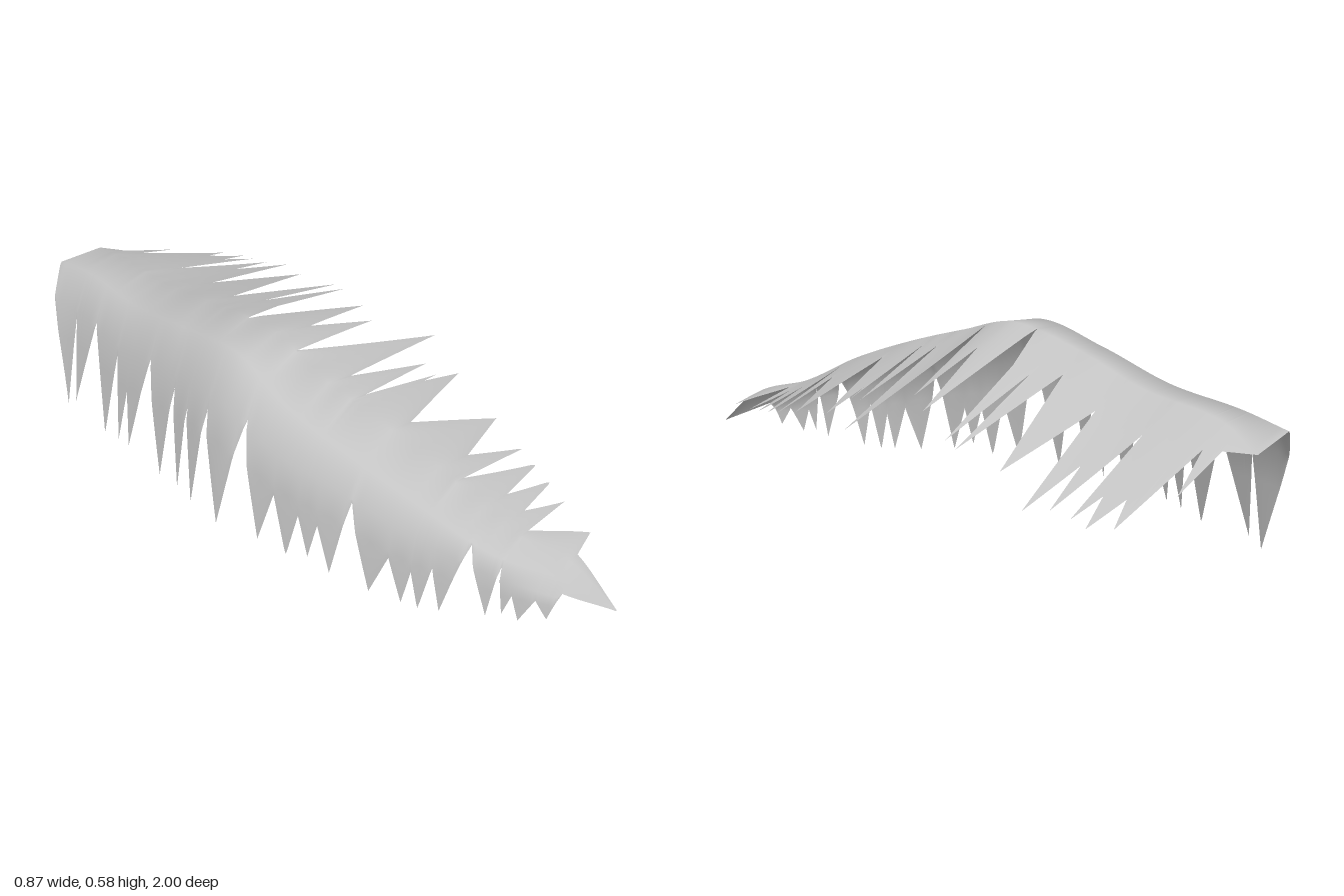
import * as THREE from 'three';

// Smooth interpolation through keyed values (cubic Hermite, uneven spacing).
function spline(xs, ys, x) {
  const n = xs.length;
  let i = 0;
  while (i < n - 2 && x > xs[i + 1]) i++;
  const slope = (k) => {
    const a = Math.max(k - 1, 0), b = Math.min(k + 1, n - 1);
    return (ys[b] - ys[a]) / (xs[b] - xs[a]);
  };
  const h = xs[i + 1] - xs[i], t = (x - xs[i]) / h, t2 = t * t, t3 = t2 * t;
  return (2 * t3 - 3 * t2 + 1) * ys[i] + (t3 - 2 * t2 + t) * h * slope(i)
    + (3 * t2 - 2 * t3) * ys[i + 1] + (t3 - t2) * h * slope(i + 1);
}

// Straight interpolation along a list of [position, value] corners.
function zigzag(list, z) {
  let i = 0;
  while (i < list.length - 2 && z > list[i + 1][0]) i++;
  const [a, b] = [list[i], list[i + 1]];
  return a[1] + (b[1] - a[1]) * (z - a[0]) / (b[0] - a[0]);
}

// Cross-sections: z, then [x, y] of low tip, low flank, flank, two crown corners, far tip.
const SECTIONS = [
  [-1, [-.32, .03], [-.28, .25], [-.25, .36], [-.19, .45], [-.03, .43], [.38, .27]],
  [-.85, [-.33, .03], [-.285, .25], [-.26, .36], [-.2, .475], [-.08, .48], [.39, .285]],
  [-.6, [-.37, .05], [-.33, .25], [-.305, .36], [-.24, .485], [-.11, .5], [.43, .315]],
  [-.35, [-.405, .06], [-.37, .3], [-.34, .41], [-.275, .535], [-.15, .555], [.36, .385]],
  [-.1, [-.44, .05], [-.41, .33], [-.375, .44], [-.3, .57], [-.17, .588], [.36, .4]],
  [.1, [-.41, .05], [-.395, .27], [-.375, .37], [-.31, .48], [-.18, .525], [.38, .35]],
  [.3, [-.37, .04], [-.355, .23], [-.335, .32], [-.28, .405], [-.16, .455], [.27, .33]],
  [.5, [-.305, .005], [-.3, .17], [-.285, .25], [-.24, .325], [-.13, .37], [.21, .27]],
  [.7, [-.215, .02], [-.21, .12], [-.205, .18], [-.185, .235], [-.1, .26], [.15, .22]],
  [.86, [-.14, .05], [-.135, .11], [-.128, .14], [-.09, .175], [-.04, .205], [.1, .185]],
  [1, [-.012, .07], [-.009, .073], [-.006, .076], [-.003, .08], [0, .081], [.008, .079]],
];

// Ragged hanging edge: [z, y], alternating notches and spike tips.
const LOW_EDGE = [
  [-1, .44], [-.872, .03], [-.857, .34], [-.832, .06], [-.75, .37], [-.655, .04], [-.62, .33],
  [-.58, .06], [-.553, .24], [-.525, .07], [-.45, .4], [-.36, .06], [-.315, .38], [-.27, .07],
  [-.24, .36], [-.2, .06], [-.15, .4], [-.085, .05], [-.005, .43], [.06, .06], [.11, .24],
  [.155, .04], [.19, .2], [.225, .07], [.25, .19], [.294, .04], [.34, .3], [.41, .02],
  [.46, .16], [.5, .01], [.522, .13], [.545, 0], [.575, .16], [.6, .01], [.655, .25],
  [.717, .03], [.737, .2], [.757, .05], [.777, .12], [.8, .04], [.835, .12], [.866, .06],
  [.885, .14], [1, .08],
];

// Ragged spreading edge: [z, x], alternating notches and spike tips.
const FAR_EDGE = [
  [-1, -.03], [-.92, .01], [-.905, .19], [-.875, .03], [-.83, .355], [-.802, .26], [-.77, .39],
  [-.745, .28], [-.72, .385], [-.705, .05], [-.66, .39], [-.632, .22], [-.603, .43], [-.54, .03],
  [-.473, .355], [-.38, -.04], [-.323, .355], [-.3, .01], [-.275, .34], [-.235, 0], [-.19, -.17],
  [-.135, .27], [-.08, -.03], [-.05, .21], [0, -.17], [.065, .375], [.125, -.09], [.16, .21],
  [.2, -.11], [.21, .2], [.217, .13], [.23, .28], [.33, -.07], [.41, .23], [.48, 0],
  [.525, .21], [.533, -.09], [.585, .2], [.62, 0], [.65, .18], [.68, 0], [.72, .14],
  [.73, -.05], [.835, .1], [.86, 0], [1, 0],
];

const STATIONS = SECTIONS.map((s) => s[0]);
const KEYS = [0, 1, 2, 3, 4, 5];

// Section at z, as a function of u running from the low tip (0) to the far tip (5).
function sectionAt(z) {
  const [xs, ys] = [0, 1].map((axis) =>
    KEYS.map((k) => [k, spline(STATIONS, SECTIONS.map((s) => s[k + 1][axis]), z)]));
  return (u) => [zigzag(xs, u), zigzag(ys, u)];
}

// Finds u in lo..hi where the chosen coordinate reaches the target.
function solve(section, axis, target, lo, hi) {
  for (let i = 0; i < 24; i++) {
    const mid = (lo + hi) / 2;
    if (section(mid)[axis] < target) lo = mid; else hi = mid;
  }
  return (lo + hi) / 2;
}

function fringedSheet() {
  // Rows meet every tip and notch, with finer rows between them.
  const breaks = [...new Set([...LOW_EDGE, ...FAR_EDGE].map((p) => p[0]))].sort((a, b) => a - b);
  const rows = [breaks[0]];
  for (let i = 1; i < breaks.length; i++) {
    const gap = breaks[i] - breaks[i - 1], steps = Math.ceil(gap / 0.006);
    for (let s = 1; s <= steps; s++) rows.push(breaks[i - 1] + gap * s / steps);
  }
  const positions = [], index = [], width = KEYS.length;
  rows.forEach((z, r) => {
    const section = sectionAt(z);
    const start = solve(section, 1, zigzag(LOW_EDGE, z), 0, 3);
    const end = solve(section, 0, zigzag(FAR_EDGE, z), 3, 5);
    KEYS.forEach((k) => {
      // Lengthwise columns stay put and are cut off at the ragged edges.
      const [x, y] = section(THREE.MathUtils.clamp(k, start, end));
      positions.push(x, y, z);
      if (r && k) {
        const d = r * width + k, b = d - width;
        index.push(b - 1, d - 1, b, b, d - 1, d);
      }
    });
  });
  const geometry = new THREE.BufferGeometry();
  geometry.setAttribute('position', new THREE.Float32BufferAttribute(positions, 3));
  geometry.setIndex(index);
  geometry.computeVertexNormals();
  return geometry;
}

export function createModel() {
  const group = new THREE.Group();
  group.name = 'fringedCrest';
  const grey = new THREE.MeshStandardMaterial({ color: 0xc4c4c4, side: THREE.DoubleSide });
  grey.name = 'light grey';
  const sheet = new THREE.Mesh(fringedSheet(), grey);
  sheet.name = 'spikyArchedSheet';
  group.add(sheet);
  return group;
}
